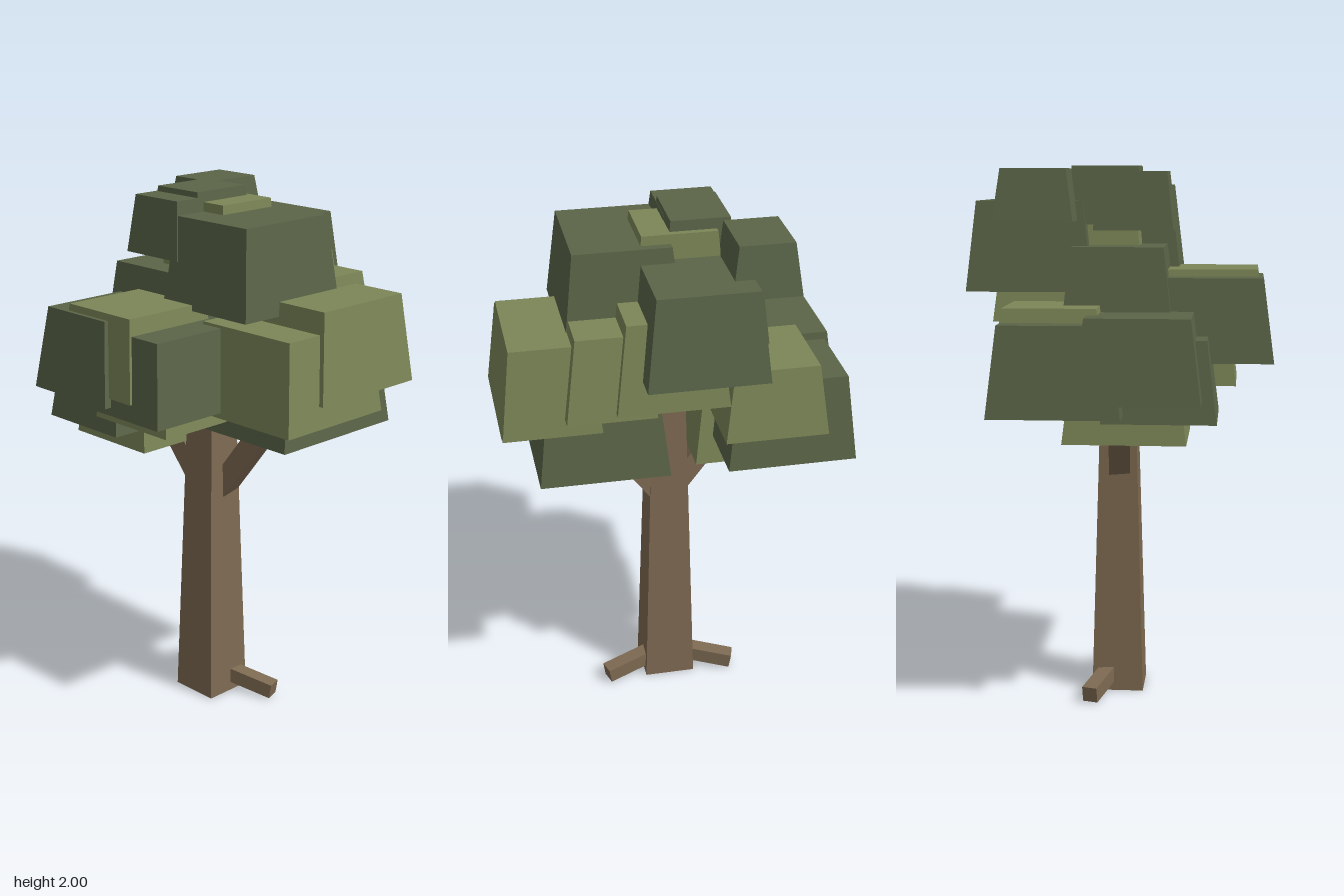
import * as THREE from 'three';

const material = (name, color) => {
  const m = new THREE.MeshStandardMaterial({ color });
  m.name = name;
  return m;
};

// Box between two heights whose top is inset evenly from its base
function taperedBox(x0, x1, y0, y1, z0, z1, inset) {
  const w = x1 - x0, h = y1 - y0, d = z1 - z0;
  const geo = new THREE.BoxGeometry(w, h, d);
  const p = geo.attributes.position;
  for (let i = 0; i < p.count; i++) {
    if (p.getY(i) > 0) {
      p.setX(i, p.getX(i) - Math.sign(p.getX(i)) * inset);
      p.setZ(i, p.getZ(i) - Math.sign(p.getZ(i)) * inset);
    }
  }
  geo.translate((x0 + x1) / 2, (y0 + y1) / 2, (z0 + z1) / 2);
  geo.computeVertexNormals();
  return geo;
}

// Square beam running from one point to another
function beam(from, to, thickness, mat, name) {
  const a = new THREE.Vector3(...from), b = new THREE.Vector3(...to);
  const mesh = new THREE.Mesh(new THREE.BoxGeometry(thickness, thickness, a.distanceTo(b)), mat);
  mesh.position.copy(a).add(b).multiplyScalar(0.5);
  mesh.lookAt(b);
  mesh.name = name;
  return mesh;
}

export function createModel() {
  const tree = new THREE.Group();
  tree.name = 'tree';
  const bark = material('bark brown', 0x7e6a52);
  const dark = material('dark leaf green', 0x5b6548);
  const light = material('light leaf green', 0x7c8657);

  // Trunk
  const trunk = new THREE.Mesh(taperedBox(-0.11, 0.085, 0, 1.35, -0.12, 0.075, 0.037), bark);
  trunk.name = 'trunk';
  tree.add(trunk);

  // Roots and branches
  tree.add(
    beam([0, 0.075, -0.04], [0.245, 0.034, -0.115], 0.058, bark, 'leftRoot'),
    beam([-0.02, 0.075, -0.04], [-0.267, 0.034, -0.115], 0.058, bark, 'rightRoot'),
    beam([0.015, 0.84, -0.045], [0.3, 1.24, -0.09], 0.08, bark, 'leftBranch'),
    beam([-0.03, 0.84, -0.02], [-0.32, 1.21, 0.0], 0.08, bark, 'rightBranch')
  );

  // Leaf blocks: base x0, x1, y0, y1, z0, z1, top inset
  const blocks = {
    dark: [
      [-0.27, 0.155, 1.55, 1.875, -0.56, -0.1, 0.036],   // back
      [-0.03, 0.39, 1.61, 1.93, -0.275, 0.205, 0.037],   // upper left
      [-0.23, 0.025, 1.79, 2.0, -0.2, 0.085, 0.022],     // crown
      [-0.24, 0.03, 1.77, 1.98, -0.1, 0.19, 0.024],      // crown front
      [-0.4, -0.155, 1.805, 1.99, -0.44, 0.155 - 0.31, 0.026],
      [-0.365, 0.0, 1.45, 1.715, -0.2, 0.19, 0.03],      // upper right
      [-0.64, -0.25, 1.19, 1.487, -0.135, 0.305, 0.037], // right side
      [-0.63, -0.16, 1.14, 1.46, -0.437, 0.03, 0.037],   // right back
      [-0.515, -0.13, 1.11, 1.4, -0.05, 0.357, 0.037],   // right front
      [-0.345, 0.048, 1.305, 1.605, 0.13, 0.555, 0.04],  // front
      [-0.05, 0.293, 1.275, 1.57, 0.1, 0.53, 0.036],     // front left
      [0.05, 0.513, 1.15, 1.46, -0.437, 0.13, 0.037],    // left underside
    ],
    light: [
      [-0.185, 0.135, 1.7, 1.963, -0.23, 0.065, 0.026],  // crown
      [0.285, 0.633, 1.337, 1.66, -0.415, 0.07, 0.037],  // left side
      [0.13, 0.625, 1.255, 1.58, -0.255, 0.232, 0.038],  // left front
      [-0.24, 0.155, 1.338, 1.63, 0.1, 0.532, 0.036],    // front
      [-0.165, 0.215, 1.2, 1.5, 0.0, 0.42, 0.036],       // front underside
      [-0.485, -0.095, 1.03, 1.34, -0.19, 0.25, 0.037],  // right underside
      [-0.525, -0.15, 1.25, 1.51, -0.43, -0.03, 0.034],  // right back
      [-0.15, 0.245, 1.43, 1.75, -0.482, -0.05, 0.04],   // back
      [0.1, 0.416, 1.4, 1.7, -0.458, -0.05, 0.04],       // back left
    ],
  };
  const foliage = new THREE.Group();
  foliage.name = 'foliage';
  for (const [tone, list] of Object.entries(blocks)) {
    list.forEach((b, i) => {
      const mesh = new THREE.Mesh(taperedBox(...b), tone === 'dark' ? dark : light);
      mesh.name = `${tone}LeafBlock${i + 1}`;
      foliage.add(mesh);
    });
  }
  tree.add(foliage);
  return tree;
}
